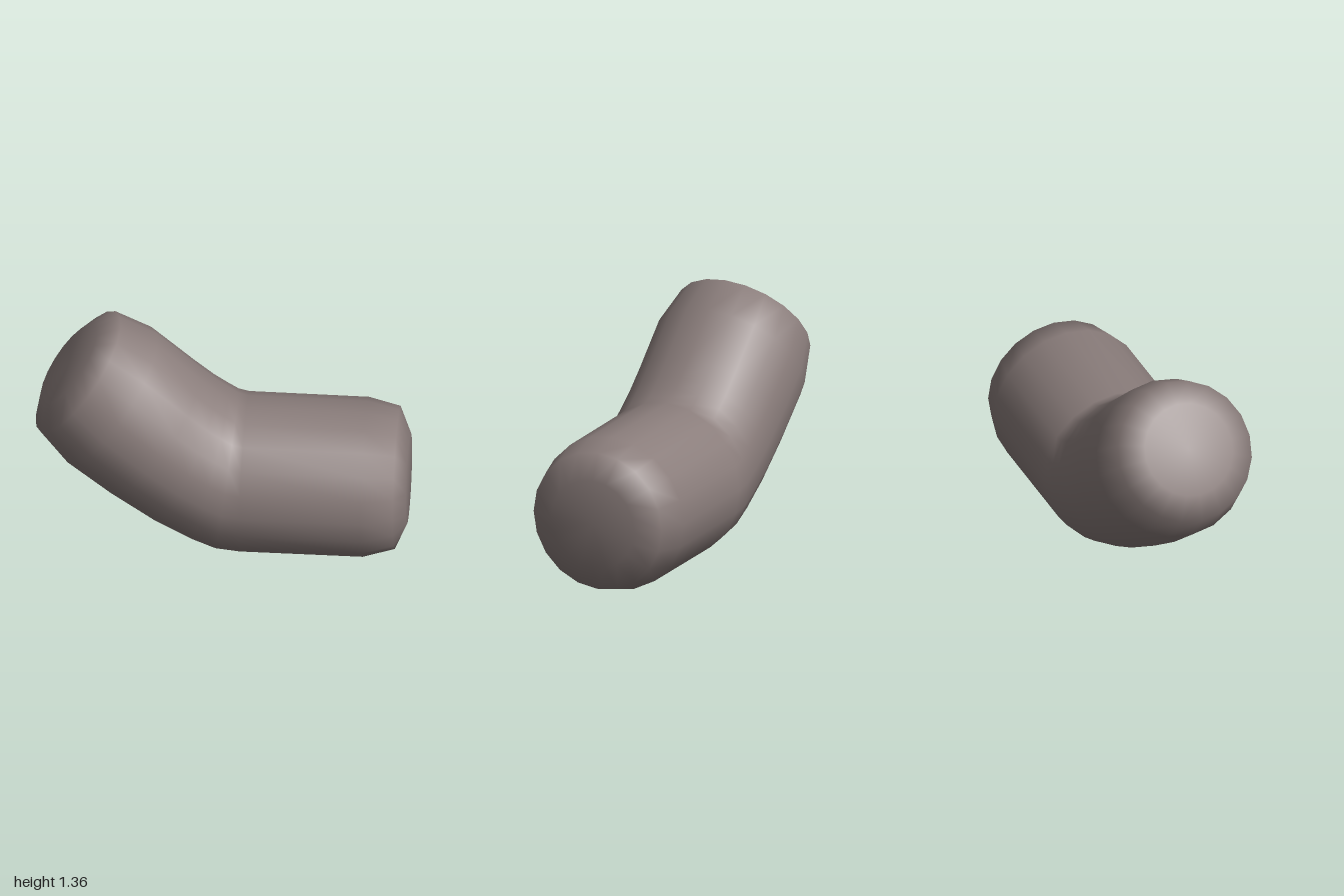
import * as THREE from 'three';

const SIDES = 20;

// Cross-sections along the bent pipe: bottom x, y, top x, y, half depth
const RINGS = [
  [1.0, 0.19, 1.0, 0.68, 0.25],
  [0.94, 0.055, 0.94, 0.82, 0.385],
  [0.77, 0.005, 0.77, 0.86, 0.43],
  [0.11, 0.005, 0.13, 0.865, 0.43],
  [-0.03, 0.02, 0.08, 0.88, 0.43],
  [-0.17, 0.08, 0.03, 0.915, 0.43],
  [-0.38, 0.2, -0.03, 0.96, 0.43],
  [-0.63, 0.38, -0.12, 1.04, 0.43],
  [-0.86, 0.57, -0.35, 1.25, 0.43],
  [-1.0, 0.75, -0.545, 1.36, 0.38],
  [-0.975, 0.9, -0.675, 1.3, 0.25],
];

function bentPipeGeometry() {
  const positions = [];
  const index = [];
  for (const [bx, by, tx, ty, depth] of RINGS) {
    for (let i = 0; i < SIDES; i++) {
      const a = (i / SIDES) * Math.PI * 2;
      const t = (1 + Math.cos(a)) / 2;
      positions.push(bx + (tx - bx) * t, by + (ty - by) * t, depth * Math.sin(a));
    }
  }
  // Wall between neighbouring sections
  for (let r = 0; r < RINGS.length - 1; r++) {
    for (let i = 0; i < SIDES; i++) {
      const j = (i + 1) % SIDES;
      const a = r * SIDES + i, b = r * SIDES + j;
      index.push(a, a + SIDES, b, b, a + SIDES, b + SIDES);
    }
  }
  // Flat end caps, sharing the rim so the shading rolls over softly
  for (const r of [0, RINGS.length - 1]) {
    const [bx, by, tx, ty] = RINGS[r];
    const centre = positions.length / 3;
    positions.push((bx + tx) / 2, (by + ty) / 2, 0);
    for (let i = 0; i < SIDES; i++) {
      const a = r * SIDES + i, b = r * SIDES + ((i + 1) % SIDES);
      if (r === 0) index.push(centre, a, b);
      else index.push(centre, b, a);
    }
  }
  const geometry = new THREE.BufferGeometry();
  geometry.setAttribute('position', new THREE.Float32BufferAttribute(positions, 3));
  geometry.setIndex(index);
  geometry.computeVertexNormals();
  return geometry;
}

export function createModel() {
  const group = new THREE.Group();
  group.name = 'bentPipe';
  const material = new THREE.MeshStandardMaterial({ color: 0x8a7d7b });
  const body = new THREE.Mesh(bentPipeGeometry(), material);
  body.name = 'pipeBody';
  group.add(body);
  return group;
}
